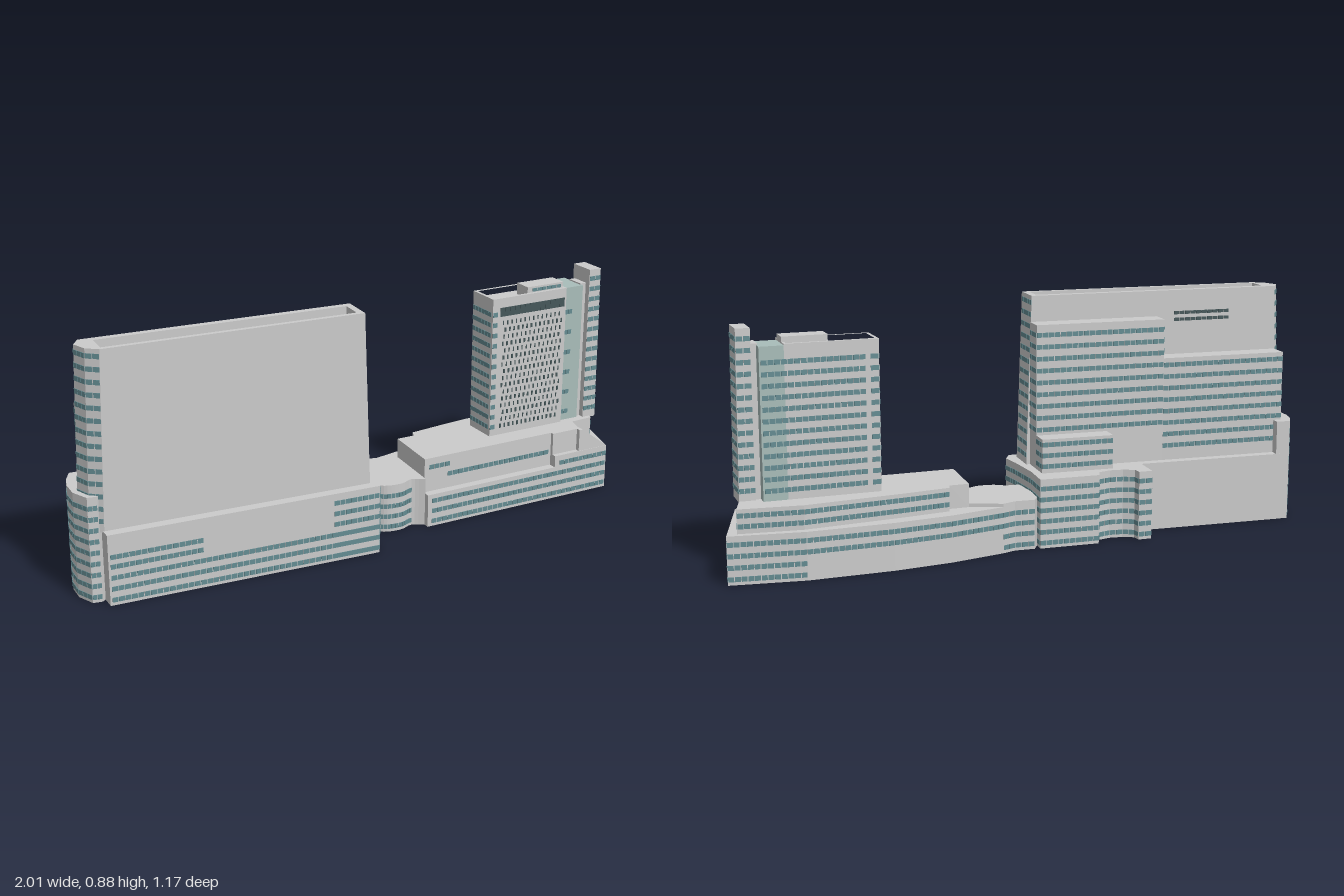
import * as THREE from 'three';
import { mergeGeometries } from 'three/addons/utils/BufferGeometryUtils.js';

const mat = (color) => new THREE.MeshStandardMaterial({ color, flatShading: true });
const wall = mat(0xcccccc), glass = mat(0x648c92), dark = mat(0x45575a), paleGlass = mat(0xa9bdba);
const same = (u) => u;

// Upright block from a plan outline [x, z]; an optional lean shifts x by height
function prism(group, name, pts, y0, y1, { hole, lean = same, material = wall } = {}) {
  const flip = (list) => list.map(([x, z]) => new THREE.Vector2(x, -z));
  const shape = new THREE.Shape(flip(pts));
  if (hole) shape.holes.push(new THREE.Path(flip(hole)));
  const geo = new THREE.ExtrudeGeometry(shape, { depth: y1 - y0, bevelEnabled: false });
  geo.rotateX(-Math.PI / 2).translate(0, y0, 0);
  const p = geo.attributes.position;
  for (let i = 0; i < p.count; i++) p.setX(i, lean(p.getX(i), p.getY(i)));
  geo.computeVertexNormals();
  const mesh = new THREE.Mesh(geo, material);
  mesh.name = name;
  group.add(mesh);
}

const rect = (x0, x1, z0, z1) => [[x0, z0], [x1, z0], [x1, z1], [x0, z1]];
const block = (group, name, x0, x1, z0, z1, y0, y1, opt) => prism(group, name, rect(x0, x1, z0, z1), y0, y1, opt);

// Rows of window panes along a wall path, one row per floor height
function windows(group, name, path, floors, { h = 0.017, pane = 0.022, fill = 0.88, lean = same, material = glass } = {}) {
  const parts = [];
  for (const y of floors) {
    for (let i = 0; i + 1 < path.length; i++) {
      const [ax, az] = [lean(path[i][0], y), path[i][1]];
      const [bx, bz] = [lean(path[i + 1][0], y), path[i + 1][1]];
      const len = Math.hypot(bx - ax, bz - az), n = Math.max(1, Math.round(len / pane));
      for (let k = 0; k < n; k++) {
        const t = (k + 0.5) / n;
        const box = new THREE.BoxGeometry((len / n) * fill, h, 0.004);
        box.rotateY(-Math.atan2(bz - az, bx - ax));
        parts.push(box.translate(ax + (bx - ax) * t, y, az + (bz - az) * t));
      }
    }
  }
  const mesh = new THREE.Mesh(mergeGeometries(parts), material);
  mesh.name = name;
  group.add(mesh);
}

const floors = (from, to, step) => {
  const out = [];
  for (let y = from; y <= to + 1e-6; y += step) out.push(y);
  return out;
};

function wideBuilding() {
  const g = new THREE.Group();
  g.name = 'wideBuilding';
  g.rotation.y = THREE.MathUtils.degToRad(19);
  const low = floors(0.02, 0.22, 0.04);

  // Podium with its rounded, taller end
  prism(g, 'podium', [[-1.02, -0.015], [-0.03, -0.015], [-0.014, 0.133], [0.0, 0.212], [-0.025, 0.262], [-1.011, 0.262]], 0, 0.255);
  const end = [[-1.053, -0.014], [-1.078, 0.04], [-1.089, 0.09], [-1.088, 0.155], [-1.058, 0.217], [-1.025, 0.22]];
  prism(g, 'roundedEnd', [...end, [-1.0, 0.2], [-1.0, -0.014]], 0, 0.38);
  windows(g, 'roundedEndWindows', end, floors(0.02, 0.36, 0.04));
  windows(g, 'podiumFrontWindows', [[-1.005, 0.262], [-0.03, 0.262]], floors(0.02, 0.1, 0.04));
  windows(g, 'podiumUpperWindows', [[-1.005, 0.262], [-0.68, 0.262]], [0.14, 0.175]);
  windows(g, 'podiumCornerWindows', [[-0.2, 0.262], [-0.025, 0.262], [0.0, 0.212], [-0.014, 0.133], [-0.03, -0.01]], low);

  // Rear wing with a curved notch
  const wing = [[-0.455, -0.015], [-0.455, -0.125], [-0.405, -0.127], [-0.4, -0.095], [-0.36, -0.078],
    [-0.31, -0.075], [-0.265, -0.09], [-0.25, -0.13], [-0.027, -0.134], [-0.03, -0.015]];
  prism(g, 'rearWing', wing, 0, 0.255);
  windows(g, 'rearWingWindows', wing, low);
  block(g, 'rearStep', -0.33, -0.06, -0.05, 0.03, 0.2, 0.38);
  windows(g, 'rearStepWindows', [[-0.33, -0.05], [-0.06, -0.05], [-0.06, 0.02]], [0.28, 0.32, 0.36]);

  // Tall slab with leaning ends and a sunken roof
  const lean = (u, y) => -0.56 + (u + 0.56) * (1 - 0.04 * Math.max(0, (y - 0.25) / 0.63));
  const slab = [[-1.045, 0.1], [-1.072, 0.142], [-1.05, 0.196], [-1.008, 0.225], [-0.045, 0.225], [-0.045, 0.1]];
  const roofHole = rect(-1.0, -0.07, 0.125, 0.208);
  prism(g, 'slabTower', slab, 0.25, 0.845, { lean });
  prism(g, 'slabParapet', slab, 0.845, 0.88, { hole: roofHole, lean });
  const high = floors(0.29, 0.86, 0.0435);
  windows(g, 'slabEndWindows', [[-0.045, 0.215], [-0.045, 0.1]], high, { lean });
  windows(g, 'slabFarEndWindows', slab.slice(0, 4), high, { lean });
  windows(g, 'slabTopWindows', [[-0.85, 0.1], [-0.62, 0.1]], [0.77, 0.795], { lean, h: 0.012, material: dark });

  // Rear tower blocks, one high and one lower
  block(g, 'rearTowerHigh', -0.55, -0.06, 0.02, 0.102, 0.25, 0.785);
  block(g, 'rearTowerLow', -1.03, -0.55, 0.02, 0.102, 0.25, 0.64);
  windows(g, 'rearHighWindows', [[-0.55, 0.02], [-0.06, 0.02], [-0.06, 0.1]], floors(0.4, 0.76, 0.0435));
  windows(g, 'rearHighSideWindows', [[-0.55, 0.02], [-0.55, 0.1]], [0.67, 0.71, 0.75]);
  windows(g, 'rearLowWindows', [[-1.03, 0.1], [-1.03, 0.02], [-0.55, 0.02]], floors(0.31, 0.62, 0.0435));
  return g;
}

function narrowBuilding() {
  const g = new THREE.Group();
  g.name = 'narrowBuilding';
  g.rotation.y = THREE.MathUtils.degToRad(22.8);

  // Lower podium and front strip
  const back = [[0.125, -0.143], [0.33, -0.185], [0.542, -0.206], [0.847, -0.208], [1.11, -0.171]];
  const lower = [...back, [1.019, 0.157], [0.78, 0.157], [0.78, 0.125], [0.222, 0.125], [0.238, -0.1]];
  prism(g, 'lowerPodium', lower, 0, 0.17);
  block(g, 'frontStrip', 0.219, 0.785, 0.1, 0.157, 0, 0.125);
  windows(g, 'lowerFrontWindows', [[0.235, 0.157], [1.015, 0.157]], floors(0.02, 0.1, 0.04));
  windows(g, 'lowerCornerWindows', [[0.8, 0.157], [1.019, 0.157]], [0.14]);
  windows(g, 'lowerEndWindows', [[1.019, 0.15], [1.11, -0.171]], floors(0.02, 0.14, 0.04));
  windows(g, 'lowerBackWindows', back, [0.1, 0.14]);
  windows(g, 'lowerBackCornerWindows', back.slice(3), [0.02, 0.06]);

  // Set-back upper podium and sloped corner roof
  const upper = [[0.238, -0.1], [0.31, -0.1], [0.32, -0.13], [0.49, -0.15], [0.847, -0.18], [1.07, -0.155],
    [1.01, 0.06], [0.92, 0.065], [0.9, 0.138], [0.78, 0.138], [0.78, 0.125], [0.222, 0.125]];
  prism(g, 'upperPodium', upper, 0.17, 0.255);
  windows(g, 'upperBackWindows', upper.slice(2, 7), [0.195, 0.232]);
  windows(g, 'upperFrontWindows', [[0.32, 0.125], [0.77, 0.125]], [0.18]);
  windows(g, 'upperWestWindows', [[0.24, 0.125], [0.33, 0.125]], [0.22]);
  const slope = (x, y) => (x > 0.95 ? 1.02 - (y - 0.17) * 1.35 : x);
  block(g, 'slopedRoof', 0.89, 1.02, 0.06, 0.155, 0.17, 0.255, { lean: slope });

  // Tower shaft, glazed bay and parapet
  const shaft = rect(0.553, 0.88, -0.09, 0.044);
  prism(g, 'towerShaft', shaft, 0.25, 0.765);
  prism(g, 'towerParapet', shaft, 0.765, 0.79, { hole: rect(0.565, 0.87, -0.078, 0.032) });
  block(g, 'glazedBay', 0.88, 0.965, -0.09, 0.03, 0.25, 0.785, { material: paleGlass });
  block(g, 'roofHouse', 0.72, 0.88, -0.05, 0.02, 0.765, 0.808);
  windows(g, 'roofHouseWindows', [[0.74, 0.02], [0.87, 0.02]], [0.795], { h: 0.012 });
  const levels = floors(0.29, 0.76, 0.04);
  windows(g, 'towerBackWindows', [[0.6, -0.09], [0.96, -0.09]], levels);
  windows(g, 'towerBackCornerWindows', [[0.553, 0.035], [0.553, -0.09], [0.585, -0.09]], levels);
  windows(g, 'towerFrontEdgeWindows', [[0.553, 0.044], [0.575, 0.044]], levels);
  windows(g, 'bayWindows', [[0.885, 0.03], [0.92, 0.03]], floors(0.29, 0.76, 0.08));
  windows(g, 'towerTopBand', [[0.585, 0.044], [0.872, 0.044]], [0.737], { h: 0.034, fill: 0.97, material: dark });
  // Narrow slit windows in a shifting pattern
  floors(0.29, 0.7, 0.027).forEach((y, i) =>
    windows(g, 'slitWindows', [[0.59 + (i % 3) * 0.005, 0.044], [0.86 + (i % 3) * 0.005, 0.044]], [y],
      { h: 0.016, pane: 0.02, fill: i % 2 ? 0.22 : 0.35, material: dark }));

  // Tall end pylon, wider at its foot
  const pylon = (x, y) => x + (x > 1.0 ? (0.845 - y) * 0.012 : 0);
  block(g, 'endPylon', 0.985, 1.035, -0.06, 0.042, 0.25, 0.845, { lean: pylon });
  block(g, 'pylonLink', 0.96, 0.99, -0.05, 0.02, 0.25, 0.79);
  windows(g, 'pylonWindows', [[0.985, -0.06], [1.035, -0.06], [1.035, 0.042], [0.985, 0.042]],
    floors(0.29, 0.83, 0.04), { lean: pylon });
  return g;
}

function connector() {
  const g = new THREE.Group();
  g.name = 'connector';
  // Low link with a wavy front wall
  const front = new THREE.SplineCurve([[0.0, 0.1], [0.06, 0.08], [0.11, 0.087], [0.166, 0.07], [0.205, 0.035], [0.255, 0.04]]
    .map(([x, z]) => new THREE.Vector2(x, z))).getPoints(20).map((p) => [p.x, p.y]);
  const rear = [[0.2, -0.18], [0.06, -0.18], [0.02, -0.145], [-0.05, -0.12], [-0.06, -0.05]];
  prism(g, 'linkBlock', [...front, ...rear], 0, 0.182);
  windows(g, 'linkWindows', front.slice(2, 17), floors(0.02, 0.14, 0.04));
  windows(g, 'linkRearWindows', rear.slice(1, 4), floors(0.02, 0.14, 0.04));
  return g;
}

export function createModel() {
  const model = new THREE.Group();
  model.name = 'towerComplex';
  model.add(wideBuilding(), connector(), narrowBuilding());
  return model;
}
